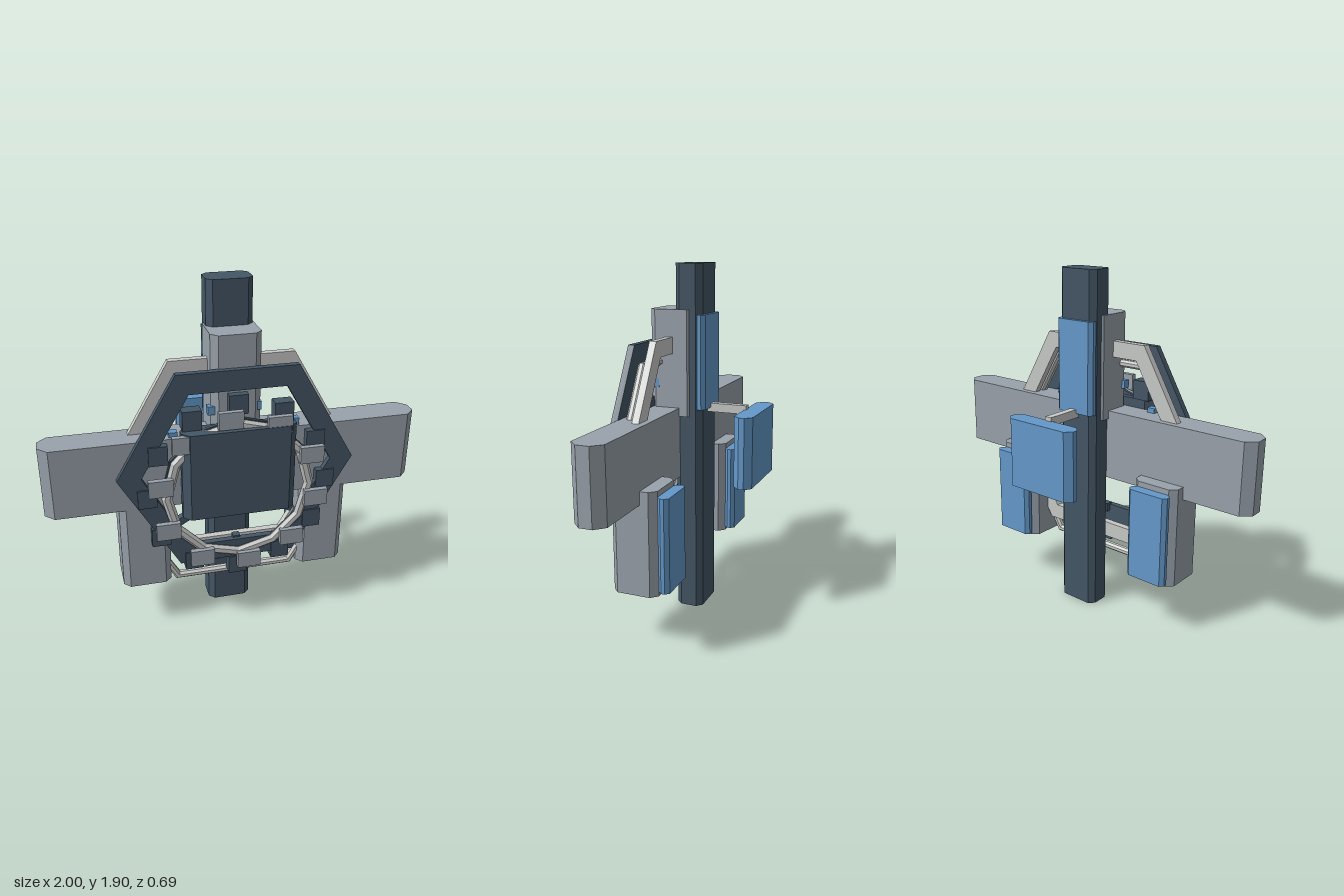
import * as THREE from 'three';

const mat = (name, color) => {
  const m = new THREE.MeshStandardMaterial({ color, flatShading: true });
  m.name = name;
  return m;
};

export function createModel() {
  const model = new THREE.Group();
  model.name = 'station';
  const slate = mat('slate', 0x445665);
  const grey = mat('grey', 0x99a2ab);
  const pale = mat('pale grey', 0xc8cac8);
  const blue = mat('blue', 0x6499ca);

  const add = (name, geometry, material) => {
    const mesh = new THREE.Mesh(geometry, material);
    mesh.name = name;
    model.add(mesh);
    return mesh;
  };

  // Upright prism with its four vertical edges cut by c
  const block = (name, material, x0, x1, y0, y1, z0, z1, c) => {
    const shape = new THREE.Shape([
      [x0 + c, -z1], [x1 - c, -z1], [x1, -z1 + c], [x1, -z0 - c],
      [x1 - c, -z0], [x0 + c, -z0], [x0, -z0 - c], [x0, -z1 + c],
    ].map(([x, y]) => new THREE.Vector2(x, y)));
    const g = new THREE.ExtrudeGeometry(shape, { depth: y1 - y0, bevelEnabled: false });
    g.rotateX(-Math.PI / 2).translate(0, y0, 0);
    return add(name, g, material);
  };

  // Faceted ring facing +z, its section cut at the corners by c
  const ring = (name, material, sides, start, y, rIn, rOut, z0, z1, c = 0) => {
    const section = c
      ? [[rOut - c, z0], [rOut, z0 + c], [rOut, z1 - c], [rOut - c, z1],
        [rIn + c, z1], [rIn, z1 - c], [rIn, z0 + c], [rIn + c, z0], [rOut - c, z0]]
      : [[rOut, z0], [rOut, z1], [rIn, z1], [rIn, z0], [rOut, z0]];
    const g = new THREE.LatheGeometry(section.map(([a, b]) => new THREE.Vector2(a, b)), sides, start);
    g.rotateX(Math.PI / 2).translate(0, y, 0);
    return add(name, g, material);
  };

  // Boxes evenly spaced on a circle around the hub
  const hubY = 0.833;
  const circle = (name, material, count, startDeg, r, w, h, z0, z1, turn = false) => {
    for (let i = 0; i < count; i++) {
      const a = THREE.MathUtils.degToRad(startDeg + i * 360 / count);
      const m = add(name, new THREE.BoxGeometry(w, h, z1 - z0), material);
      m.position.set(r * Math.cos(a), hubY + r * Math.sin(a), (z0 + z1) / 2);
      if (turn) m.rotation.z = a;
    }
  };

  // Main hull
  block('spine', slate, -0.12, 0.12, 0, 1.9, -0.04, 0.11, 0.03);
  block('crossbar', grey, -1, 1, 0.76, 1.145, 0.08, 0.25, 0.05);
  block('upperModule', grey, -0.13, 0.13, 1.1, 1.665, 0, 0.25, 0.035);
  block('upperPanel', blue, -0.12, 0.12, 1.14, 1.64, -0.06, 0, 0.02);

  // Lower modules with rear panels
  for (const s of [-1, 1]) {
    const span = (a, b) => (s > 0 ? [a, b] : [-b, -a]);
    block('lowerModule', grey, ...span(0.36, 0.625), 0.275, 0.83, 0, 0.25, 0.035);
    block('lowerPanel', blue, ...span(0.37, 0.61), 0.3, 0.8, -0.06, 0, 0.02);
  }

  // Rear panel on its strut
  block('strut', pale, -0.02, 0.02, 1.115, 1.162, -0.26, -0.03, 0);
  block('rearPanel', blue, -0.22, 0.22, 0.76, 1.14, -0.35, -0.25, 0.035);

  // Hexagonal frames
  const hex = Math.PI / 6;
  ring('frontFrame', slate, 6, hex, 0.95, 0.505, 0.63, 0.245, 0.28);
  ring('backFrame', pale, 6, hex, 0.95, 0.56, 0.66, 0.115, 0.153);
  ring('lowFrame', pale, 6, hex, hubY, 0.62, 0.665, 0.175, 0.22, 0.013);

  // Hub rings and the small modules around them
  ring('hubRing', pale, 12, 0, hubY, 0.355, 0.41, 0.283, 0.318, 0.015);
  ring('hubBacking', slate, 12, 0, hubY, 0.375, 0.41, 0.265, 0.285);
  circle('outerModule', slate, 12, 0, 0.48, 0.1, 0.105, 0.22, 0.288);
  circle('plateModule', grey, 10, 97, 0.423, 0.128, 0.093, 0.312, 0.342);
  circle('blueModule', blue, 12, 16, 0.455, 0.045, 0.045, 0.195, 0.235);
  circle('spokeEnd', slate, 6, 30, 0.335, 0.05, 0.04, 0.22, 0.26, true);

  // Central hub block
  block('hubBlock', slate, -0.3, 0.3, 0.71, 1.195, 0.23, 0.345, 0.038);

  return model;
}
